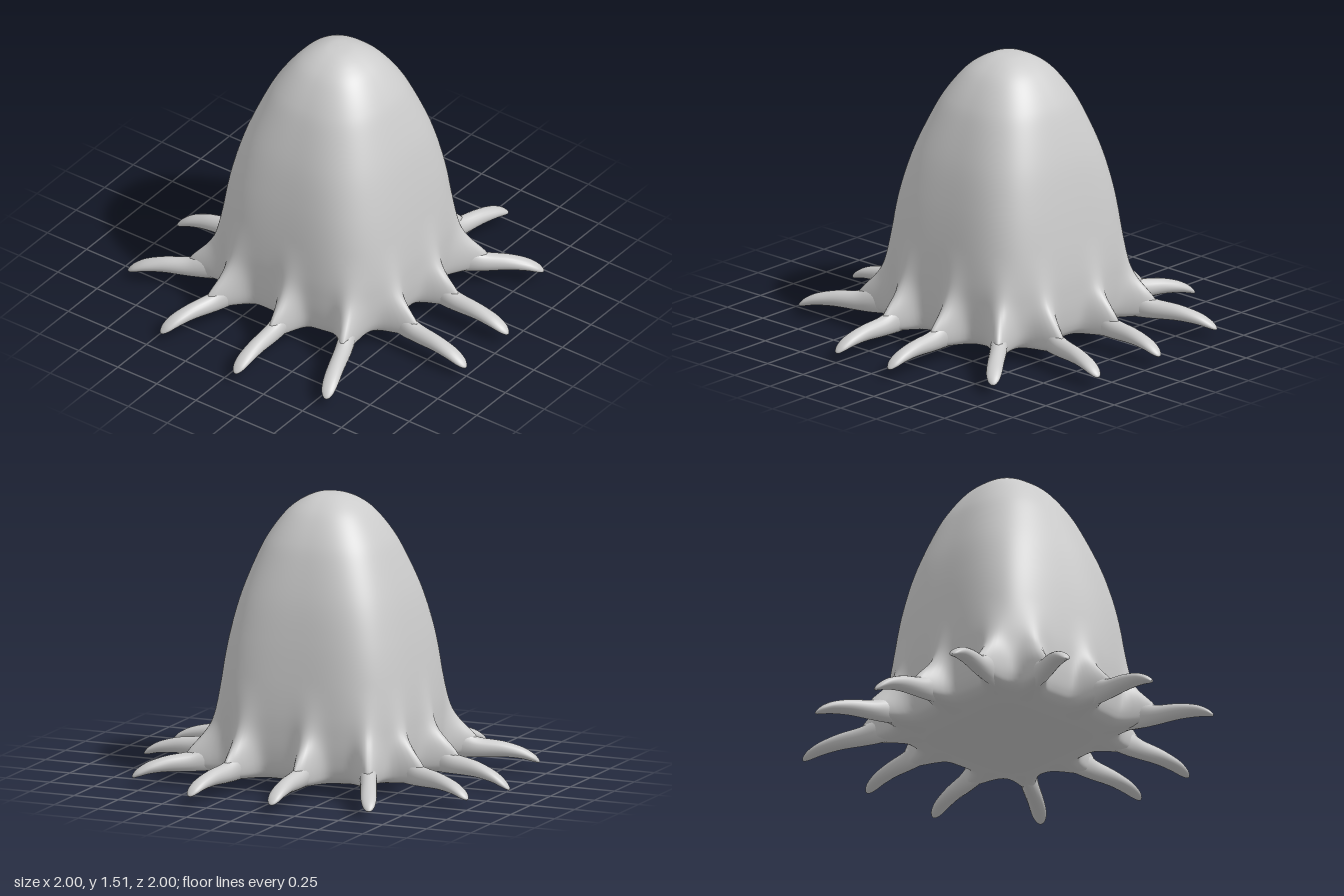
import * as THREE from 'three';

const material = new THREE.MeshStandardMaterial({ color: 0xcccccc });
const { smoothstep } = THREE.MathUtils;

// Arms around the skirt: root x, root z, tip x, tip z, tip drop
const ARMS = [
  [-0.12, -0.51, -0.115, -1.0, 0.005], [0.25, -0.51, 0.35, -1.0, 0],
  [0.445, -0.395, 0.815, -0.685, 0], [0.5, -0.12, 1.0, -0.12, 0],
  [0.5, 0.215, 1.0, 0.25, 0], [0.395, 0.433, 0.58, 0.905, 0],
  [0.06, 0.5, 0.065, 1.0, 0], [-0.29, 0.49, -0.465, 0.925, 0.01],
  [-0.485, 0.38, -0.935, 0.57, 0.01], [-0.53, 0.035, -1.0, 0.045, 0.05],
  [-0.51, -0.285, -0.98, -0.44, 0.01], [-0.415, -0.44, -0.635, -0.92, 0.01],
].map(([bx, bz, tx, tz, drop]) => {
  const length = Math.hypot(tx - bx, tz - bz);
  return { bx, bz, length, drop, dx: (tx - bx) / length, dz: (tz - bz) / length };
});

// Skin closed rings of points into one smooth surface
function loft(rings) {
  const n = rings[0].length, index = [];
  for (let i = 0; i < rings.length - 1; i++) {
    for (let j = 0; j < n; j++) {
      const k = (j + 1) % n;
      const a = i * n + j, b = i * n + k, c = (i + 1) * n + k, d = (i + 1) * n + j;
      index.push(a, d, c, a, c, b);
    }
  }
  const geometry = new THREE.BufferGeometry();
  geometry.setAttribute('position', new THREE.Float32BufferAttribute(rings.flat(2), 3));
  geometry.setIndex(index);
  geometry.computeVertexNormals();
  return geometry;
}

const spline = (pairs) => new THREE.SplineCurve(pairs.map(([x, y]) => new THREE.Vector2(x, y)));

// Rounded-square dome, pulled out into narrow webs where the arms leave it
function bodyGeometry() {
  const profile = spline([
    [0.001, 0.035], [0.24, 0.04], [0.41, 0.058], [0.475, 0.085], [0.502, 0.13],
    [0.515, 0.21], [0.519, 0.31], [0.516, 0.43], [0.499, 0.6], [0.467, 0.8],
    [0.42, 1.0], [0.349, 1.2], [0.294, 1.31], [0.22, 1.41], [0.15, 1.467],
    [0.075, 1.5], [0.001, 1.508],
  ]).getPoints(150);
  const sides = 240;
  return loft(profile.map(({ x: half, y }) => {
    const power = 3.7 - 1.3 * smoothstep(y, 0.6, 1.55);
    const cx = -0.015;
    const cz = -0.01 - 0.015 * smoothstep(y, 0.6, 1.5);
    const web = 0.17 * Math.exp(-(((y - 0.12) / 0.14) ** 2));
    const ridge = 0.035 * (1 - smoothstep(y, 0.15, 0.6));
    const ring = [];
    for (let j = 0; j < sides; j++) {
      const angle = (j / sides) * Math.PI * 2;
      const c = Math.cos(angle), s = Math.sin(angle);
      const r = half / (Math.abs(c) ** power + Math.abs(s) ** power) ** (1 / power);
      const px = cx + r * c, pz = cz + r * s;
      let x = px, z = pz;
      for (const arm of ARMS) {
        const rx = px - arm.bx, rz = pz - arm.bz;
        const side = rz * arm.dx - rx * arm.dz;
        const along = rx * arm.dx + rz * arm.dz;
        const pull = smoothstep(along, -0.13, -0.01)
          * (web * Math.exp(-((side / 0.052) ** 2)) + ridge * Math.exp(-((side / 0.07) ** 2)));
        x += arm.dx * pull;
        z += arm.dz * pull;
      }
      ring.push([x, y, z]);
    }
    return ring;
  }));
}

// Arm sections along its length: [t, top, bottom, halfWidth]
const SECTIONS = [
  [-0.2, 0.2, 0.075, 0.03], [0, 0.22, 0.07, 0.036], [0.1, 0.222, 0.068, 0.041],
  [0.22, 0.2, 0.067, 0.044], [0.36, 0.174, 0.069, 0.044], [0.6, 0.158, 0.074, 0.043],
  [0.8, 0.131, 0.068, 0.042], [0.92, 0.1, 0.056, 0.034], [0.98, 0.073, 0.05, 0.018],
  [1, 0.056, 0.055, 0.0005],
];
const shape = [1, 2, 3].map((k) => spline(SECTIONS.map((row) => [row[0], row[k]])));

// Arm: root hidden in its web, thinning into a drooping finger
function armGeometry(arm) {
  const rings = [], steps = 54, sides = 20;
  for (let i = 0; i <= steps; i++) {
    const [top, bottom, width] = shape.map((curve) => curve.getPoint(i / steps));
    const t = top.x;
    const d = t * arm.length;
    const middle = (top.y + bottom.y) / 2 - arm.drop * Math.max(t, 0) ** 2;
    const height = (top.y - bottom.y) / 2;
    const ring = [];
    for (let j = 0; j < sides; j++) {
      const angle = (j / sides) * Math.PI * 2;
      const u = Math.cos(angle) * width.y;
      ring.push([
        arm.bx + arm.dx * d - arm.dz * u,
        middle + Math.sin(angle) * height,
        arm.bz + arm.dz * d + arm.dx * u,
      ]);
    }
    rings.push(ring);
  }
  return loft(rings);
}

export function createModel() {
  const group = new THREE.Group();
  group.name = 'tentacledDome';
  const body = new THREE.Mesh(bodyGeometry(), material);
  body.name = 'body';
  group.add(body);
  ARMS.forEach((arm, i) => {
    const mesh = new THREE.Mesh(armGeometry(arm), material);
    mesh.name = `tentacle${i + 1}`;
    group.add(mesh);
  });
  return group;
}
